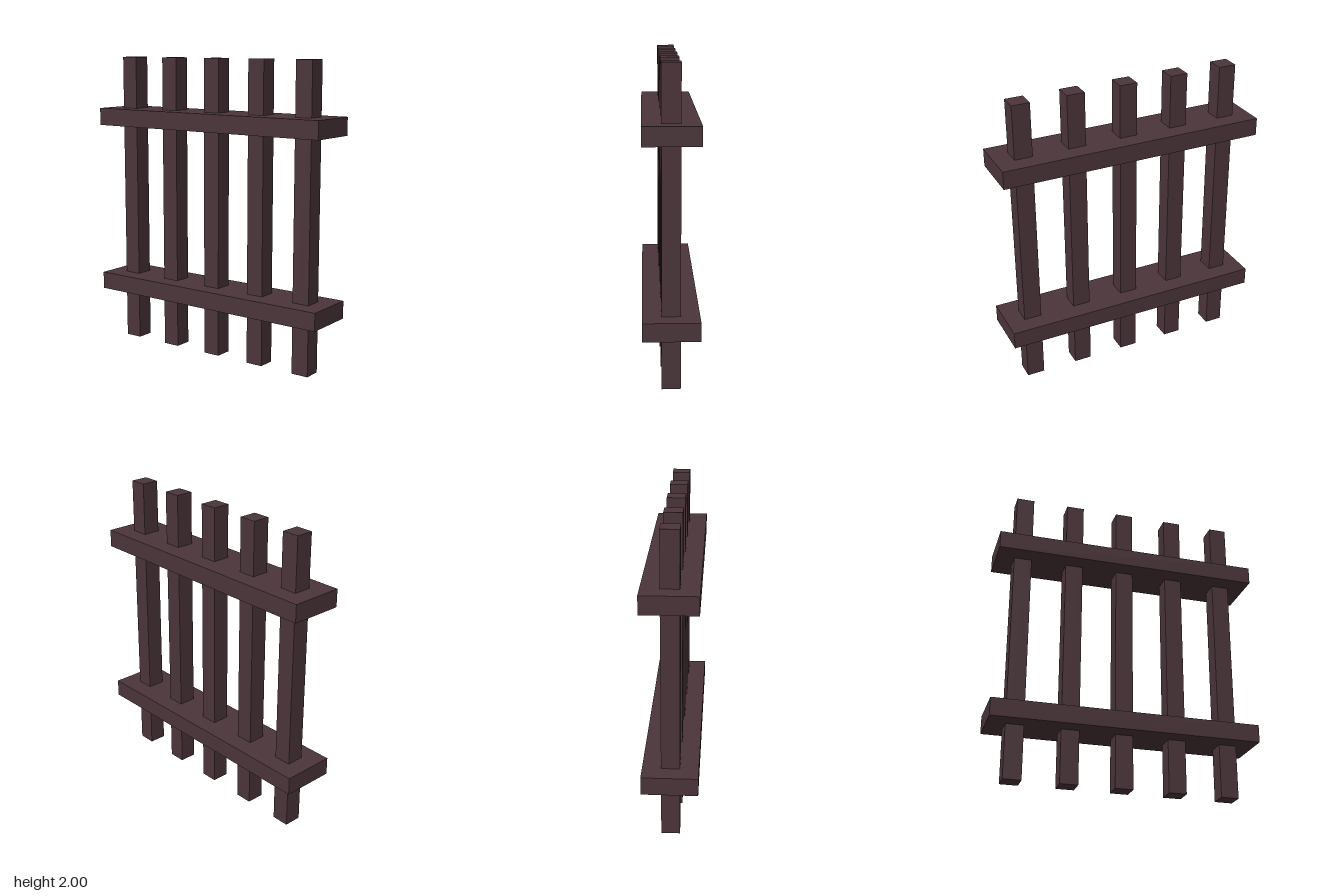
import * as THREE from 'three';

export function createModel() {
  const group = new THREE.Group();
  group.name = 'barredFence';
  const darkIron = new THREE.MeshStandardMaterial({ color: 0x4b353a });
  darkIron.name = 'darkIron';

  const u = 2 / 17; // bar thickness; every size is a multiple of it

  const addBox = (name, w, h, d, x, y) => {
    const mesh = new THREE.Mesh(new THREE.BoxGeometry(w * u, h * u, d * u), darkIron);
    mesh.name = name;
    mesh.position.set(x * u, y * u, 0);
    group.add(mesh);
  };

  // Five square upright bars
  for (let i = -2; i <= 2; i++) addBox(`uprightBar${i + 3}`, 1, 17, 1, i * 3, 8.5);

  // Two flat rails the bars pass through
  addBox('lowerRail', 15, 1, 3, 0, 3.5);
  addBox('upperRail', 15, 1, 3, 0, 13.5);

  return group;
}
